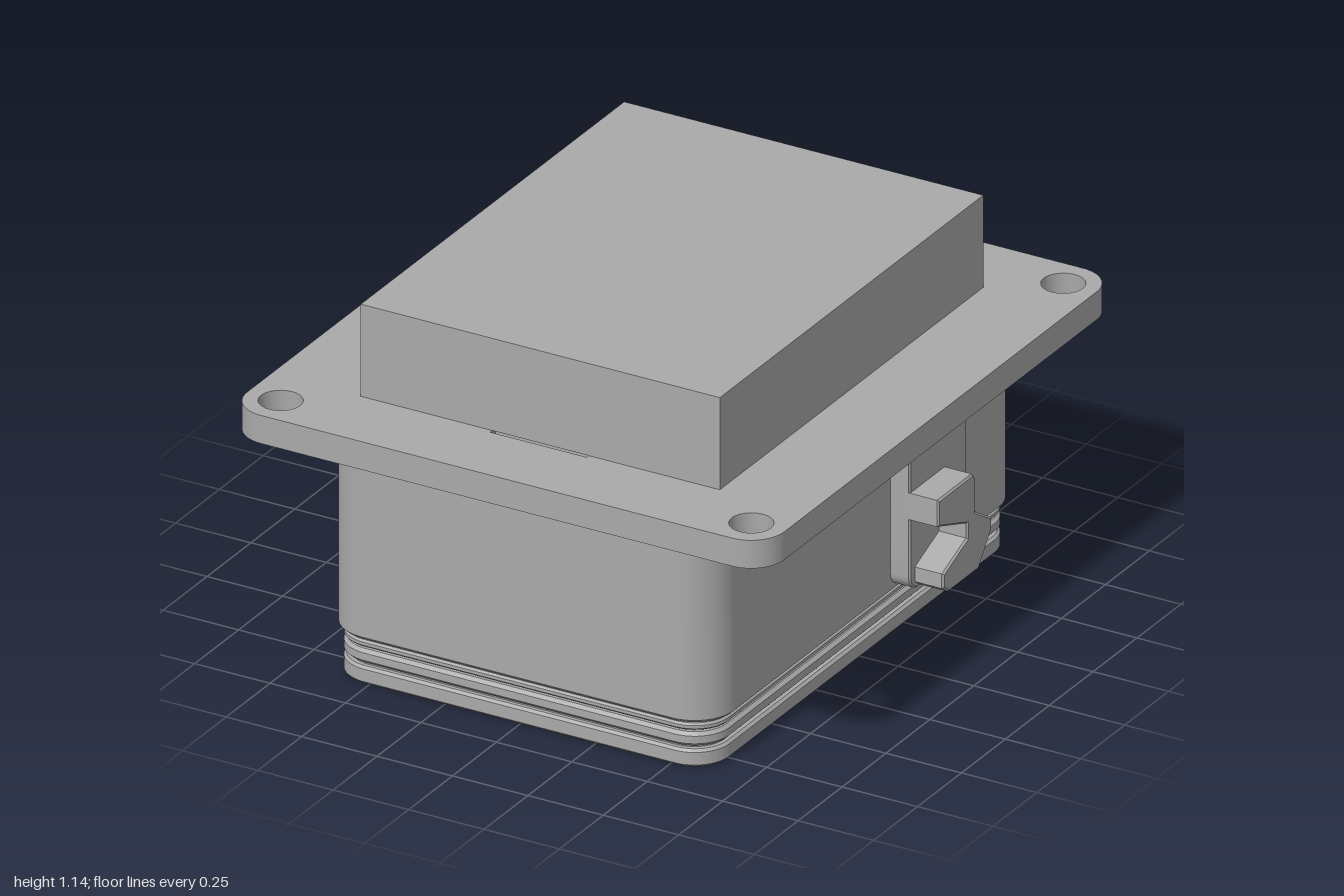
import * as THREE from 'three';
import { toCreasedNormals } from 'three/addons/utils/BufferGeometryUtils.js';

// Rounded rectangle in plan, given half sizes
function roundedRect(hx, hz, r) {
  const s = new THREE.Shape();
  s.moveTo(-hx + r, -hz);
  s.lineTo(hx - r, -hz);
  s.absarc(hx - r, -hz + r, r, -Math.PI / 2, 0);
  s.lineTo(hx, hz - r);
  s.absarc(hx - r, hz - r, r, 0, Math.PI / 2);
  s.lineTo(-hx + r, hz);
  s.absarc(-hx + r, hz - r, r, Math.PI / 2, Math.PI);
  s.lineTo(-hx, -hz + r);
  s.absarc(-hx + r, -hz + r, r, Math.PI, Math.PI * 1.5);
  return s;
}

// Extrusion from 0 to depth whose outline keeps its size despite the bevel
function extrude(shape, depth, bevel = 0) {
  const g = new THREE.ExtrudeGeometry(shape, {
    depth: depth - 2 * bevel, curveSegments: 12, bevelEnabled: bevel > 0,
    bevelSize: bevel, bevelThickness: bevel, bevelOffset: -bevel, bevelSegments: 1,
  });
  g.translate(0, 0, bevel);
  return toCreasedNormals(g, 0.6);
}

// Horizontal slab: shape coordinates are (x, -z)
function slab(shape, y0, y1, bevel) {
  return extrude(shape, y1 - y0, bevel).rotateX(-Math.PI / 2).translate(0, y0, 0);
}

const polygon = pts => new THREE.Shape(pts.map(p => new THREE.Vector2(...p)));

export function createModel() {
  const model = new THREE.Group();
  const grey = new THREE.MeshStandardMaterial({ color: 0xa9a9a9 });
  grey.name = 'plain grey';
  const add = (name, geometry, parent = model) => {
    const m = new THREE.Mesh(geometry, grey);
    m.name = name;
    parent.add(m);
    return m;
  };

  // Upper block
  add('upperBlock', new THREE.BoxGeometry(1.19, 0.295, 1.5).translate(0, 0.9975, 0));

  // Flange with four bolt holes and two narrow slots beside the block
  const flange = roundedRect(0.89, 1, 0.11);
  for (const sx of [-1, 1]) for (const sz of [-1, 1]) {
    flange.holes.push(new THREE.Path().absarc(sx * 0.78, sz * 0.888, 0.065, 0, Math.PI * 2, true));
  }
  for (const sz of [-1, 1]) {
    flange.holes.push(polygon([[-0.16, sz * 0.73], [0.16, sz * 0.73], [0.16, sz * 0.762], [-0.16, sz * 0.762]]));
  }
  add('flange', slab(flange, 0.76, 0.85, 0));

  // Collar, housing, sealing rings and the core seen in the grooves
  const bands = [
    ['collar', 0.71, 0.95, 0.17, 0.738, 0.765, 0.008],
    ['housing', 0.645, 0.885, 0.13, 0.148, 0.74, 0.01],
    ['upperRing', 0.63, 0.87, 0.115, 0.118, 0.14, 0.006],
    ['lowerRing', 0.63, 0.87, 0.115, 0.066, 0.11, 0.01],
    ['core', 0.61, 0.85, 0.1, 0.05, 0.2, 0],
  ];
  for (const [name, hx, hz, r, y0, y1, bevel] of bands) {
    add(name, slab(roundedRect(hx, hz, r), y0, y1, bevel));
  }

  // Bottom rim around a shallow recess, notched on its inner edge
  const inner = [];
  const hx = 0.565, hz = 0.805, deep = 0.84;
  const edge = (spans, side) => {
    for (const [a, b] of spans) {
      inner.push([a, side * hz], [a, side * deep], [b, side * deep], [b, side * hz]);
    }
  };
  inner.push([-hx, -hz]);
  edge([[-0.5, -0.32], [-0.1, 0.02], [0.2, 0.44]], -1);
  inner.push([hx, -hz], [hx, hz]);
  edge([[0.36, 0.3], [-0.1, -0.15], [-0.34, -0.4]], 1);
  inner.push([-hx, hz]);
  const rim = roundedRect(0.63, 0.87, 0.115);
  rim.holes.push(polygon(inner));
  add('bottomRim', slab(rim, 0, 0.056, 0.008));

  // Side latch: backing plate with flared top, and a hook; profile in (-z, y)
  const plate = new THREE.Shape();
  plate.moveTo(0.07, 0.755);
  plate.lineTo(0.07, 0.735);
  plate.lineTo(0.135, 0.67);
  plate.lineTo(0.135, 0.215);
  plate.absarc(0.185, 0.215, 0.05, Math.PI, Math.PI * 1.5);
  plate.lineTo(0.405, 0.165);
  plate.absarc(0.405, 0.215, 0.05, -Math.PI / 2, 0);
  plate.lineTo(0.455, 0.67);
  plate.lineTo(0.515, 0.735);
  plate.lineTo(0.515, 0.755);
  const hook = polygon([
    [0.135, 0.4], [0.3, 0.34], [0.3, 0.293], [0.163, 0.237], [0.163, 0.19], [0.195, 0.167],
    [0.365, 0.167], [0.44, 0.265], [0.44, 0.3], [0.345, 0.36], [0.345, 0.47], [0.332, 0.485], [0.135, 0.485],
  ]);
  for (const side of [1, -1]) {
    const latch = new THREE.Group();
    latch.name = side > 0 ? 'leftLatch' : 'rightLatch';
    const place = (g, x0) => {
      g.rotateY(Math.PI / 2).translate(x0, 0, 0);
      return g;
    };
    add('latchPlate', place(extrude(plate, 0.11, 0.005), 0.6), latch);
    add('latchHook', place(extrude(hook, 0.12, 0.006), 0.685), latch);
    latch.scale.x = side;
    model.add(latch);
  }
  return model;
}
